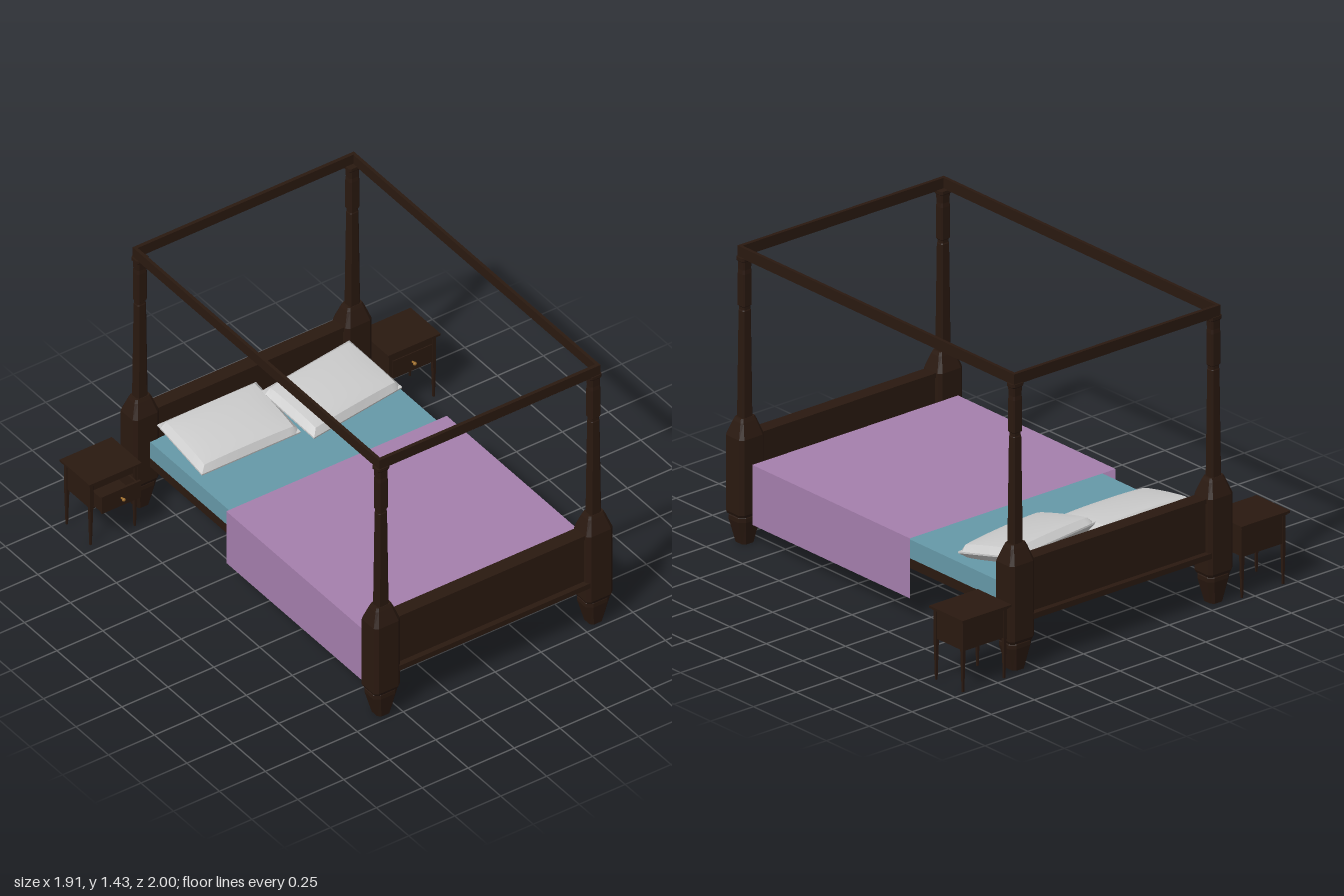
import * as THREE from 'three';
import { toCreasedNormals } from 'three/addons/utils/BufferGeometryUtils.js';

const wood = new THREE.MeshStandardMaterial({ color: 0x2a1910, flatShading: true });
const sheet = new THREE.MeshStandardMaterial({ color: 0x6699a8 });
const cover = new THREE.MeshStandardMaterial({ color: 0xa57fad, side: THREE.DoubleSide });
const brass = new THREE.MeshStandardMaterial({ color: 0x9a6a28 });
const linen = new THREE.MeshStandardMaterial({ color: 0xcccccc });

function add(parent, name, geometry, material, x = 0, y = 0, z = 0) {
  const mesh = new THREE.Mesh(geometry, material);
  mesh.name = name;
  mesh.position.set(x, y, z);
  parent.add(mesh);
  return mesh;
}

// Box given by its limits on each axis
function box(parent, name, [x0, x1], [y0, y1], [z0, z1], material = wood) {
  return add(parent, name, new THREE.BoxGeometry(x1 - x0, y1 - y0, z1 - z0), material,
    (x0 + x1) / 2, (y0 + y1) / 2, (z0 + z1) / 2);
}

// Stack of chamfered rectangles; each level is [y, width, depth]
function loft(levels, chamfer = 0.6) {
  const c = chamfer;
  const ring = [[1, c], [1, -c], [c, -1], [-c, -1], [-1, -c], [-1, c], [-c, 1], [c, 1]];
  const pos = [], index = [];
  levels.forEach(([y, w, d]) => ring.forEach(([x, z]) => pos.push(x * w / 2, y, z * d / 2)));
  for (let l = 0; l < levels.length - 1; l++) {
    for (let i = 0; i < 8; i++) {
      const a = l * 8 + i, b = l * 8 + (i + 1) % 8;
      index.push(a, b, b + 8, a, b + 8, a + 8);
    }
  }
  const top = (levels.length - 1) * 8;
  for (let i = 1; i < 7; i++) {
    index.push(0, i + 1, i, top, top + i, top + i + 1);
  }
  const geo = new THREE.BufferGeometry();
  geo.setAttribute('position', new THREE.Float32BufferAttribute(pos, 3));
  geo.setIndex(index);
  geo.computeVertexNormals();
  return geo;
}

// Bed post: tapered foot, heavy block, slender shaft
function makePost(x, z) {
  const post = new THREE.Group();
  post.name = 'bedPost';
  add(post, 'postFoot', loft([[0, 0.07, 0.07], [0.115, 0.13, 0.11], [0.135, 0.13, 0.11], [0.15, 0.11, 0.095]]), wood);
  add(post, 'postBlock', loft([[0.14, 0.128, 0.112], [0.155, 0.143, 0.122], [0.52, 0.143, 0.122],
    [0.59, 0.095, 0.07], [0.607, 0.08, 0.055]], 0.75), wood);
  add(post, 'postShaft', loft([[0.6, 0.06, 0.05], [1.12, 0.048, 0.04], [1.125, 0.044, 0.036], [1.14, 0.044, 0.036],
    [1.145, 0.054, 0.046], [1.3, 0.054, 0.046], [1.32, 0.05, 0.042], [1.36, 0.054, 0.046],
    [1.365, 0.066, 0.052], [1.38, 0.066, 0.052]], 0.7), wood);
  post.position.set(x, 0, z);
  return post;
}

// Cushion: a grid bulged on both sides, with a flat bevel around its rim
function makePillow(width, depth, height) {
  const nx = 20, nz = 14;
  const geo = new THREE.BoxGeometry(2, 2, 2, nx, 1, nz);
  const p = geo.attributes.position;
  for (let i = 0; i < p.count; i++) {
    const u = p.getX(i), v = p.getZ(i);
    const edge = Math.min((1 - Math.abs(u)) * width / 2, (1 - Math.abs(v)) * depth / 2);
    const rim = Math.min(edge / 0.026, 1);
    const bulge = (1 - u * u) * (1 - v * v);
    const h = (0.004 + 0.45 * height * rim + 0.55 * height * Math.sqrt(bulge) * rim);
    p.setXYZ(i, u * width / 2, Math.sign(p.getY(i)) * h, v * depth / 2);
  }
  return toCreasedNormals(geo, 0.6);
}

// Bedside table centred on x = 0; drawerOut slides its drawer forward
function makeNightstand(drawerOut) {
  const stand = new THREE.Group();
  stand.name = 'nightstand';
  box(stand, 'tableTop', [-0.142, 0.142], [0.345, 0.356], [-1, -0.77]);
  box(stand, 'topMoulding', [-0.133, 0.133], [0.337, 0.346], [-0.992, -0.778]);
  // Case left open at the front for the drawer
  for (const s of [-1, 1]) {
    box(stand, 'caseSide', [s * 0.115 - 0.007, s * 0.115 + 0.007], [0.2, 0.34], [-0.982, -0.788]);
    for (const z of [-0.976, -0.793]) {
      add(stand, 'tableLeg', loft([[0, 0.009, 0.009], [0.2, 0.018, 0.018], [0.34, 0.018, 0.018]], 0.9),
        wood, s * 0.12, 0, z);
    }
  }
  box(stand, 'caseBack', [-0.12, 0.12], [0.2, 0.34], [-0.984, -0.974]);
  box(stand, 'caseRail', [-0.12, 0.12], [0.302, 0.34], [-0.975, -0.788]);
  box(stand, 'caseBottom', [-0.12, 0.12], [0.198, 0.206], [-0.975, -0.79]);
  // Drawer with a brass knob
  const drawer = new THREE.Group();
  drawer.name = 'drawer';
  box(drawer, 'drawerFront', [-0.106, 0.106], [0.207, 0.3], [-0.797, -0.785]);
  box(drawer, 'drawerBottom', [-0.1, 0.1], [0.209, 0.216], [-0.96, -0.79]);
  box(drawer, 'drawerBack', [-0.1, 0.1], [0.209, 0.28], [-0.966, -0.958]);
  for (const s of [-1, 1]) {
    box(drawer, 'drawerSide', [s * 0.098 - 0.004, s * 0.098 + 0.004], [0.209, 0.285], [-0.96, -0.79]);
  }
  const stem = add(drawer, 'knobStem', new THREE.CylinderGeometry(0.005, 0.005, 0.02, 10), brass, 0, 0.252, -0.777);
  stem.rotation.x = Math.PI / 2;
  add(drawer, 'knob', new THREE.SphereGeometry(0.009, 12, 8), brass, 0, 0.252, -0.767);
  drawer.position.z = drawerOut;
  stand.add(drawer);
  return stand;
}

export function createModel() {
  const model = new THREE.Group();
  model.name = 'canopyBedroomSet';
  const bed = new THREE.Group();
  bed.name = 'canopyBed';
  model.add(bed);

  // Posts, end boards and canopy end rails at foot and head
  for (const [z, name] of [[0.938, 'footboard'], [-0.916, 'headboard']]) {
    const out = Math.sign(z);
    for (const s of [-1, 1]) bed.add(makePost(s * 0.578, z));
    box(bed, name, [-0.53, 0.53], [0.235, 0.518], [z - 0.03, z + 0.03]);
    box(bed, name + 'Ledge', [-0.53, 0.53], [0.235, 0.262], [z - 0.058, z + 0.058]);
    box(bed, name + 'Cap', [-0.53, 0.53], [0.498, 0.52], [z - 0.036, z + 0.036]);
    const r = z + out * 0.013;
    box(bed, 'canopyEndRail', [-0.602, 0.602], [1.377, 1.43], [r - 0.009, r + 0.009]);
  }
  for (const s of [-1, 1]) {
    box(bed, 'canopySideRail', [s * 0.594 - 0.008, s * 0.594 + 0.008], [1.377, 1.43], [-0.937, 0.96]);
  }

  // Base and mattress
  box(bed, 'bedBase', [-0.567, 0.567], [0.235, 0.281], [-0.88, 0.9]);
  box(bed, 'mattress', [-0.565, 0.565], [0.281, 0.372], [-0.858, 0.88], sheet);

  // Blanket draped over both sides
  const blanket = new THREE.Group();
  blanket.name = 'blanket';
  bed.add(blanket);
  const top = add(blanket, 'blanketTop', new THREE.PlaneGeometry(1.2, 1.08), cover, 0, 0.4, 0.32);
  top.rotation.x = -Math.PI / 2;
  for (const s of [-1, 1]) {
    const drop = add(blanket, 'blanketDrop', new THREE.PlaneGeometry(1.08, 0.29), cover, s * 0.6, 0.255, 0.32);
    drop.rotation.y = s * Math.PI / 2;
  }

  // Pillows leaning up toward the headboard, one turned and overlapping
  const pillow = makePillow(0.537, 0.35, 0.046);
  const right = add(bed, 'rightPillow', pillow, linen, -0.267, 0.43, -0.67);
  right.rotation.set(0.18, 0, 0);
  const left = add(bed, 'leftPillow', pillow, linen, 0.26, 0.443, -0.625);
  left.rotation.set(0.2, 0.14, 0, 'YXZ');

  // Nightstands, the right one with its drawer pulled out
  for (const [x, out] of [[-0.813, 0.06], [0.813, 0]]) {
    const stand = makeNightstand(out);
    stand.position.x = x;
    model.add(stand);
  }
  return model;
}
